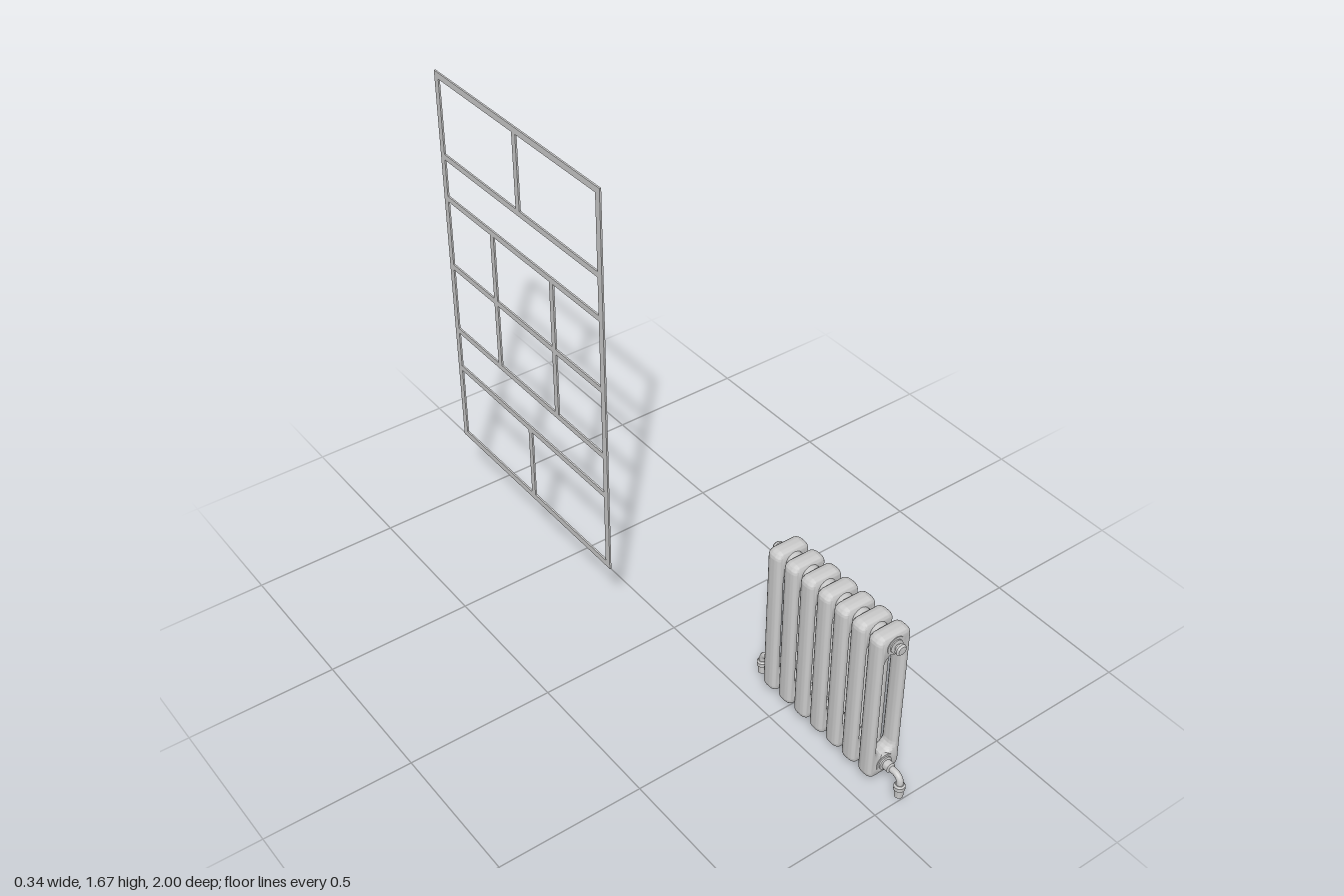
import * as THREE from 'three';
import { toCreasedNormals } from 'three/addons/utils/BufferGeometryUtils.js';

const grey = new THREE.MeshStandardMaterial({ color: 0xcccccc });

function add(parent, name, geometry, x = 0, y = 0, z = 0) {
  const mesh = new THREE.Mesh(geometry, grey);
  mesh.name = name;
  mesh.position.set(x, y, z);
  parent.add(mesh);
  return mesh;
}

// Rounded rectangle outline, centred on the origin
function roundedRect(path, w, h, r) {
  const x = w / 2, y = h / 2;
  path.moveTo(x, -y + r);
  path.lineTo(x, y - r);
  path.absarc(x - r, y - r, r, 0, Math.PI / 2);
  path.lineTo(-x + r, y);
  path.absarc(-x + r, y - r, r, Math.PI / 2, Math.PI);
  path.lineTo(-x, -y + r);
  path.absarc(-x + r, -y + r, r, Math.PI, Math.PI * 1.5);
  path.lineTo(x - r, -y);
  path.absarc(x - r, -y + r, r, Math.PI * 1.5, Math.PI * 2);
  return path;
}

function lathe(points, segments = 24) {
  const profile = points.map(([r, y]) => new THREE.Vector2(r, y));
  return toCreasedNormals(new THREE.LatheGeometry(profile, segments), 0.6);
}

// Flat lattice standing in the plane x = -0.17
function createLattice() {
  const group = new THREE.Group();
  group.name = 'latticeFrame';
  const bar = (name, z0, z1, y0, y1) => add(group, name,
    new THREE.BoxGeometry(0.006, y1 - y0, z1 - z0), -0.17, (y0 + y1) / 2, (z0 + z1) / 2);
  const zBack = -1, zFront = -0.113, yLow = 0.27, yHigh = 1.675, t = 0.022;

  bar('bottomRail', zBack, zFront, yLow, yLow + t);
  bar('topRail', zBack, zFront, yHigh - t, yHigh);
  bar('backStile', zBack, zBack + t, yLow + t, yHigh - t);
  bar('frontStile', zFront - t, zFront, yLow + t, yHigh - t);
  for (const y of [0.565, 0.72, 0.972, 1.23, 1.382])
    bar('crossBar', zBack + t, zFront - t, y - 0.01, y + 0.01);

  const uprights = [
    [-0.556, yLow + t, 0.555], [-0.556, 1.392, yHigh - t],
    [-0.388, 0.73, 0.962], [-0.388, 0.982, 1.22],
    [-0.72, 0.73, 0.962], [-0.72, 0.982, 1.22],
  ];
  for (const [z, y0, y1] of uprights) bar('upright', z - 0.01, z + 0.01, y0, y1);
  return group;
}

// Two-column radiator, built around its own middle in x and z
function createRadiator() {
  const group = new THREE.Group();
  group.name = 'radiator';
  const count = 7, pitch = 0.0757, topY = 0.565, bottomY = 0.081;

  // Sections: rounded loop with elliptical columns
  const loop = roundedRect(new THREE.Shape(), 0.124, 0.572, 0.026);
  loop.holes.push(roundedRect(new THREE.Path(), 0.06, 0.415, 0.0295));
  const section = new THREE.ExtrudeGeometry(loop, {
    depth: 0.012, bevelThickness: 0.022, bevelSize: 0.013, bevelOffset: -0.013,
    bevelSegments: 6, curveSegments: 8,
  });
  section.translate(0, 0, -0.006);
  const sectionGeometry = toCreasedNormals(section, 0.7);
  for (let i = 0; i < count; i++)
    add(group, 'section', sectionGeometry, 0, 0.322, (i - (count - 1) / 2) * pitch);

  // Hubs joining the sections at top and bottom
  const hub = new THREE.CylinderGeometry(0.032, 0.032, pitch * (count - 1) + 0.06, 28);
  hub.rotateX(Math.PI / 2);
  add(group, 'topHub', hub, 0, topY);
  add(group, 'bottomHub', hub, 0, bottomY);

  // End fittings, mirrored by a half turn
  const plug = lathe([[0.023, 0.25], [0.023, 0.261], [0.011, 0.263], [0.011, 0.269],
    [0.019, 0.271], [0.019, 0.278], [0.014, 0.284], [0, 0.286]]);
  plug.rotateX(Math.PI / 2);
  const collar = lathe([[0.024, 0.25], [0.024, 0.262], [0.017, 0.264], [0.017, 0.284],
    [0.011, 0.288], [0, 0.288]]);
  collar.rotateX(Math.PI / 2);
  const path = new THREE.CurvePath();
  const v = (y, z) => new THREE.Vector3(0, y, z);
  path.add(new THREE.LineCurve3(v(bottomY, 0.27), v(bottomY, 0.298)));
  path.add(new THREE.QuadraticBezierCurve3(v(bottomY, 0.298), v(bottomY, 0.327), v(0.052, 0.327)));
  path.add(new THREE.LineCurve3(v(0.052, 0.327), v(0.035, 0.327)));
  const elbow = new THREE.TubeGeometry(path, 24, 0.011, 14);
  const foot = lathe([[0, 0], [0.014, 0], [0.014, 0.026], [0.018, 0.03],
    [0.018, 0.044], [0.013, 0.05], [0, 0.05]]);
  for (const turn of [0, Math.PI]) {
    const end = new THREE.Group();
    end.name = turn ? 'backFittings' : 'frontFittings';
    add(end, 'endPlug', plug, 0, topY);
    add(end, 'valveCollar', collar, 0, bottomY);
    add(end, 'valveElbow', elbow);
    add(end, 'valveFoot', foot, 0, 0, 0.327);
    end.rotation.y = turn;
    group.add(end);
  }
  group.position.set(0.109, 0, 0.656);
  return group;
}

export function createModel() {
  const model = new THREE.Group();
  model.name = 'radiatorAndLattice';
  model.add(createLattice(), createRadiator());
  return model;
}
